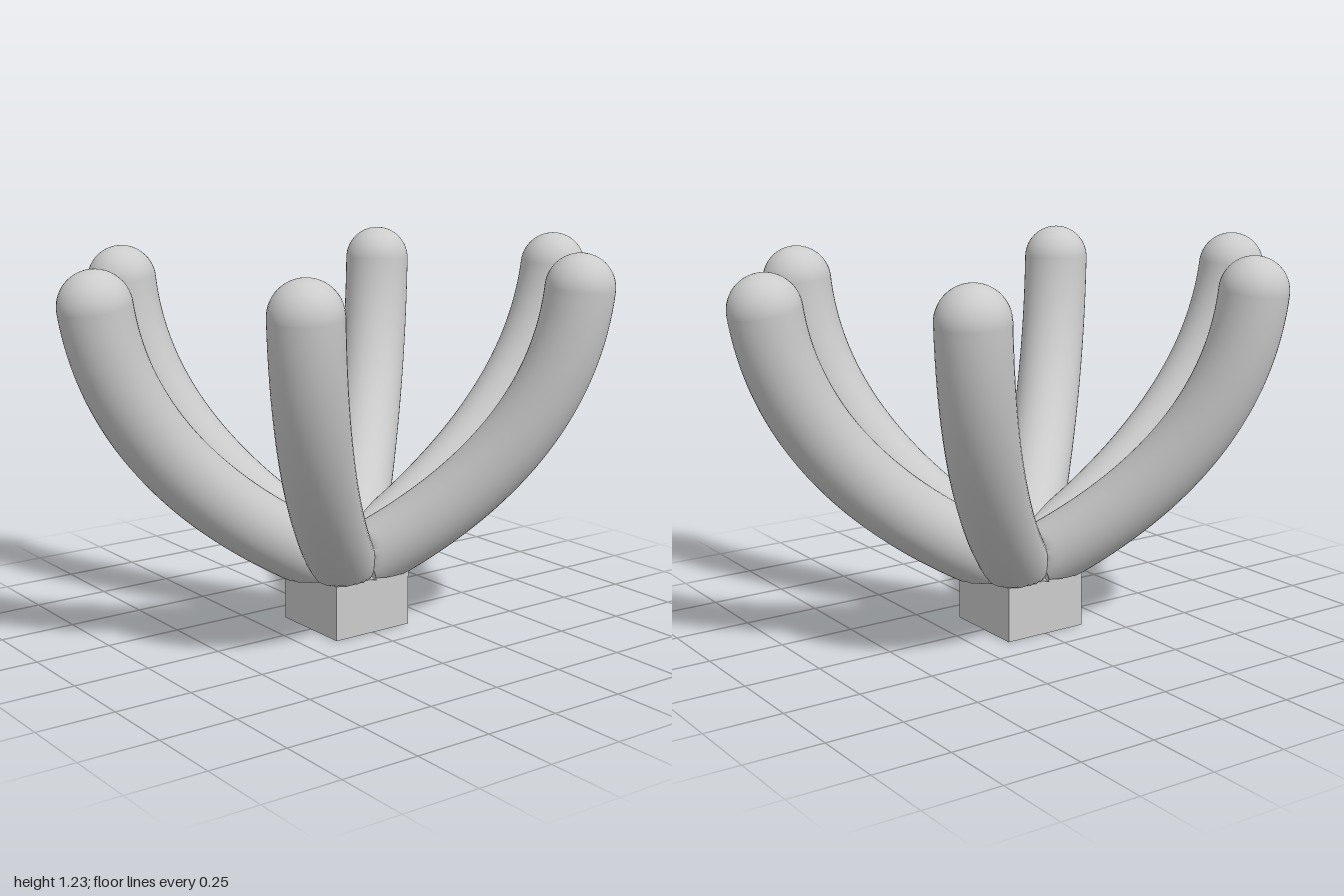
import * as THREE from 'three';
import { toCreasedNormals } from 'three/addons/utils/BufferGeometryUtils.js';

const RADIUS = 0.11;
const BASE_TOP = 0.18;
const START = -0.08; // lead-in past the centre, trimmed flat afterwards

// Parabolic arm path in the vertical plane at the given heading
class ArmCurve extends THREE.Curve {
  constructor(angle, bend, end) {
    super();
    Object.assign(this, { angle, bend, end });
  }
  getPoint(u, target = new THREE.Vector3()) {
    const t = START + (1 - START) * u;
    const a = (1 - t) ** 2, b = 2 * t * (1 - t), c = t * t;
    const r = b * this.bend[0] + c * this.end[0];
    const y = a * 0.185 + b * this.bend[1] + c * this.end[1];
    return target.set(r * Math.sin(this.angle), y, r * Math.cos(this.angle));
  }
}

function makeArm(name, angle, bend, end, material) {
  const arm = new THREE.Group();
  arm.name = name;
  const curve = new ArmCurve(angle, bend, end);

  // Tube, trimmed level with the base and at the middle plane
  const tube = new THREE.TubeGeometry(curve, 72, RADIUS, 40, false);
  const pos = tube.attributes.position;
  const side = Math.sign(Math.cos(angle));
  for (let i = 0; i < pos.count; i++) {
    pos.setY(i, Math.max(pos.getY(i), BASE_TOP));
    if (pos.getZ(i) * side < 0) pos.setZ(i, 0);
  }
  const stem = new THREE.Mesh(toCreasedNormals(tube, 0.6), material);
  stem.name = 'armStem';

  // Rounded tip following the end direction
  const dome = new THREE.SphereGeometry(RADIUS, 40, 14, 0, Math.PI * 2, 0, Math.PI / 2);
  const tip = new THREE.Mesh(dome, material);
  tip.name = 'armTip';
  tip.position.copy(curve.getPoint(1));
  tip.quaternion.setFromUnitVectors(new THREE.Vector3(0, 1, 0), curve.getTangent(1));

  arm.add(stem, tip);
  return arm;
}

export function createModel() {
  const model = new THREE.Group();
  model.name = 'branchedHolder';
  const material = new THREE.MeshStandardMaterial({ color: 0xcccccc, side: THREE.DoubleSide });

  // Square foot
  const base = new THREE.Mesh(new THREE.BoxGeometry(0.29, BASE_TOP, 0.29), material);
  base.name = 'base';
  base.position.y = BASE_TOP / 2;
  model.add(base);

  // Long arms to front and back
  model.add(makeArm('frontArm', 0, [0.81, 0.58], [0.89, 1.12], material));
  model.add(makeArm('backArm', Math.PI, [0.81, 0.58], [0.89, 1.12], material));

  // Four shorter diagonal arms
  const corners = { frontLeftArm: 1, backLeftArm: 3, backRightArm: 5, frontRightArm: 7 };
  for (const [name, k] of Object.entries(corners)) {
    model.add(makeArm(name, k * Math.PI / 4, [0.68, 0.57], [0.733, 1.12], material));
  }
  return model;
}
